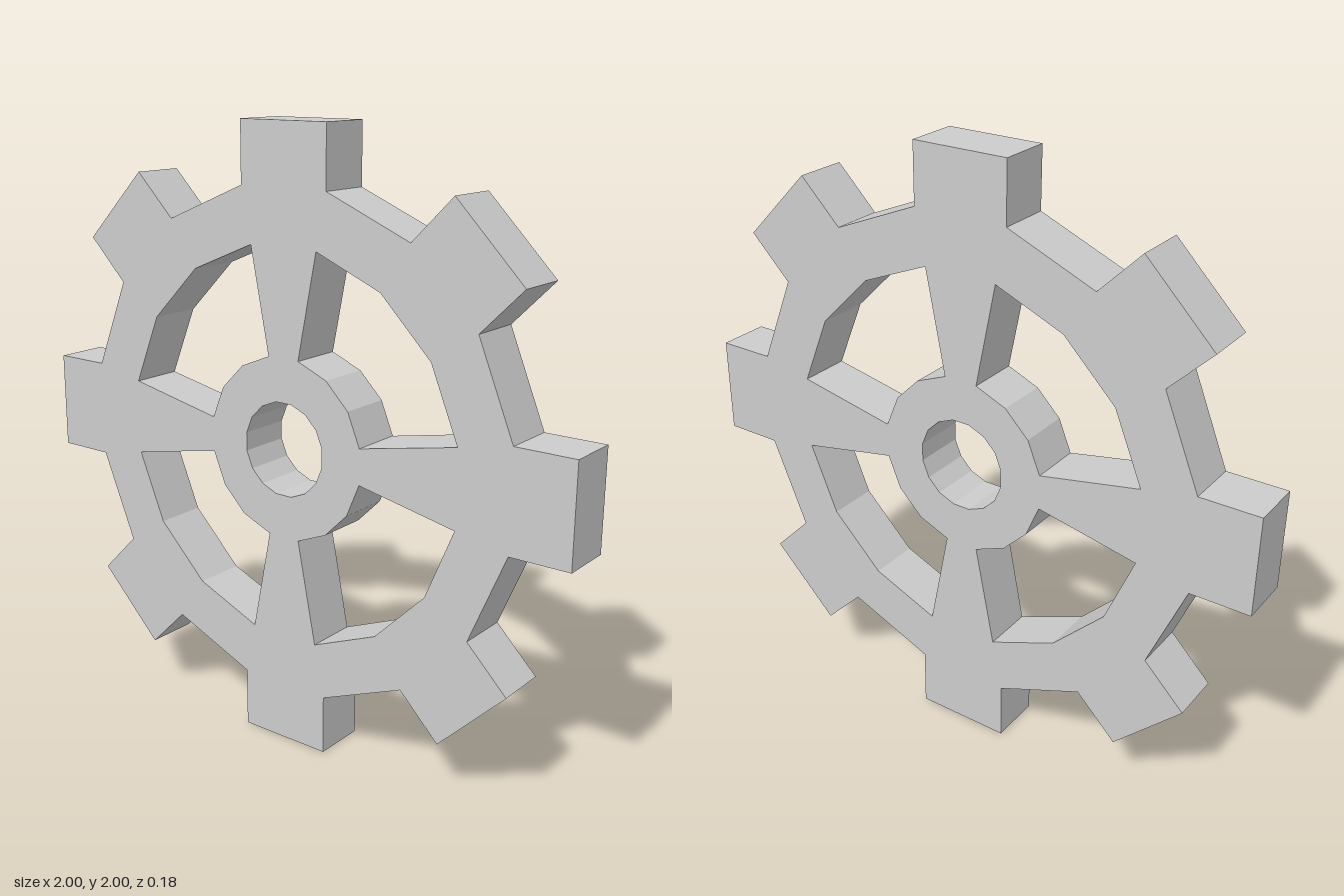
import * as THREE from 'three';

const STEP = Math.PI / 8;
const DEPTH = 0.176;

// Point at a radius and an angle around the hub
const polar = (r, a) => new THREE.Vector2(r * Math.cos(a), r * Math.sin(a));

export function createModel() {
  const group = new THREE.Group();
  group.name = 'gear';

  // Outline: eight square teeth joined by straight rim edges
  const outline = [];
  const tooth = [[0.805, -0.161], [1, -0.161], [1, 0.161], [0.805, 0.161]];
  for (let i = 0; i < 8; i++) {
    for (const [x, y] of tooth) {
      outline.push(new THREE.Vector2(x, y).rotateAround(new THREE.Vector2(), i * Math.PI / 4));
    }
  }
  const shape = new THREE.Shape(outline);

  // Axle hole with 16 sides
  const bore = [];
  for (let i = 0; i < 16; i++) bore.push(polar(0.153, (i + 0.5) * STEP));
  shape.holes.push(new THREE.Path(bore));

  // Four openings that leave tapered spokes between hub and rim
  for (let q = 0; q < 4; q++) {
    const outer = [], inner = [];
    for (let k = 0; k < 4; k++) {
      const a = q * Math.PI / 2 + (k + 0.5) * STEP;
      outer.push(polar(0.641, a));
      inner.unshift(polar(0.296, a));
    }
    shape.holes.push(new THREE.Path([...outer, ...inner]));
  }

  const geometry = new THREE.ExtrudeGeometry(shape, { depth: DEPTH, bevelEnabled: false, steps: 1 });
  geometry.translate(0, 1, -DEPTH / 2);
  const material = new THREE.MeshStandardMaterial({ color: 0xcccccc, flatShading: true });
  const wheel = new THREE.Mesh(geometry, material);
  wheel.name = 'gearWheel';
  group.add(wheel);
  return group;
}
